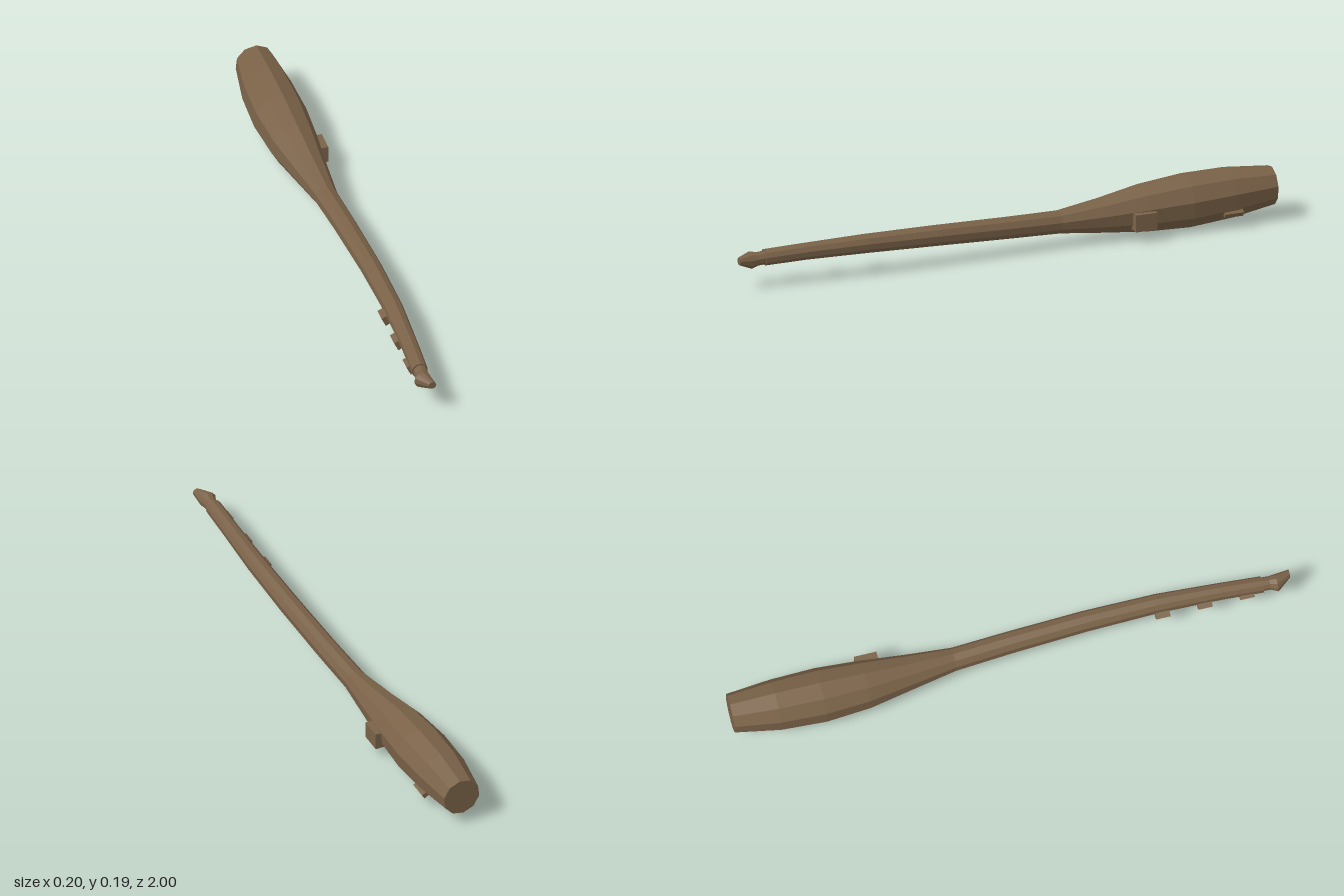
import * as THREE from 'three';

const SIDES = 10;
const PHASE = THREE.MathUtils.degToRad(12);

// Cross-sections from butt to tip: z, centre x, centre y, radius
const SECTIONS = [
  [-1.0, -0.004, 0.115, 0.069],
  [-0.84, -0.008, 0.107, 0.09],
  [-0.68, -0.007, 0.099, 0.096],
  [-0.52, -0.004, 0.094, 0.085],
  [-0.36, 0.005, 0.09, 0.062],
  [-0.2, 0.014, 0.09, 0.041],
  [0.0, 0.025, 0.098, 0.039],
  [0.27, 0.035, 0.109, 0.037],
  [0.53, 0.037, 0.115, 0.034],
  [0.75, 0.029, 0.113, 0.03],
  [0.9, 0.021, 0.108, 0.029],
];
const KNOB = [
  [0.89, 0.022, 0.108, 0.024],
  [0.925, 0.021, 0.106, 0.024],
  [0.95, 0.017, 0.103, 0.031],
  [1.0, 0.037, 0.111, 0.014],
];

// Faceted tube through the sections, closed by a flat cap at each end
function loft(sections) {
  const points = [];
  const index = [];
  for (const [z, x, y, r] of sections) {
    for (let i = 0; i < SIDES; i++) {
      const a = PHASE + (i / SIDES) * Math.PI * 2;
      points.push(x + Math.cos(a) * r, y + Math.sin(a) * r, z);
    }
  }
  const last = (sections.length - 1) * SIDES;
  for (let s = 0; s < last; s += SIDES) {
    for (let i = 0; i < SIDES; i++) {
      const j = (i + 1) % SIDES;
      index.push(s + i, s + j, s + SIDES + j, s + i, s + SIDES + j, s + SIDES + i);
    }
  }
  for (let i = 1; i < SIDES - 1; i++) {
    index.push(0, i + 1, i, last, last + i, last + i + 1);
  }
  const indexed = new THREE.BufferGeometry();
  indexed.setAttribute('position', new THREE.Float32BufferAttribute(points, 3));
  indexed.setIndex(index);
  const geometry = indexed.toNonIndexed();
  geometry.computeVertexNormals();
  return geometry;
}

export function createModel() {
  const group = new THREE.Group();
  group.name = 'woodenClub';
  const wood = new THREE.MeshStandardMaterial({ color: 0x7a6248 });
  wood.name = 'brown wood';
  wood.flatShading = true;

  const add = (name, geometry, position = [0, 0, 0], roll = 0) => {
    const mesh = new THREE.Mesh(geometry, wood);
    mesh.name = name;
    mesh.position.set(...position);
    mesh.rotation.z = roll;
    group.add(mesh);
  };

  // Curved shaft swelling into the heavy head, with a hooked pommel
  add('shaftAndHead', loft(SECTIONS));
  add('pommel', loft(KNOB));

  // Finger ridges under the grip
  [0.54, 0.69, 0.84].forEach((z, i) => {
    add(`gripRidge${i + 1}`, new THREE.BoxGeometry(0.036, 0.036, 0.05), [0.008, 0.095, z], 0.44);
  });

  // Branch stub and small sliver on the side of the head
  add('branchStub', new THREE.BoxGeometry(0.045, 0.062, 0.08), [0.0765, 0.076, -0.495]);
  add('sideSliver', new THREE.BoxGeometry(0.02, 0.018, 0.07), [0.069, 0.057, -0.83], -0.55);

  return group;
}
